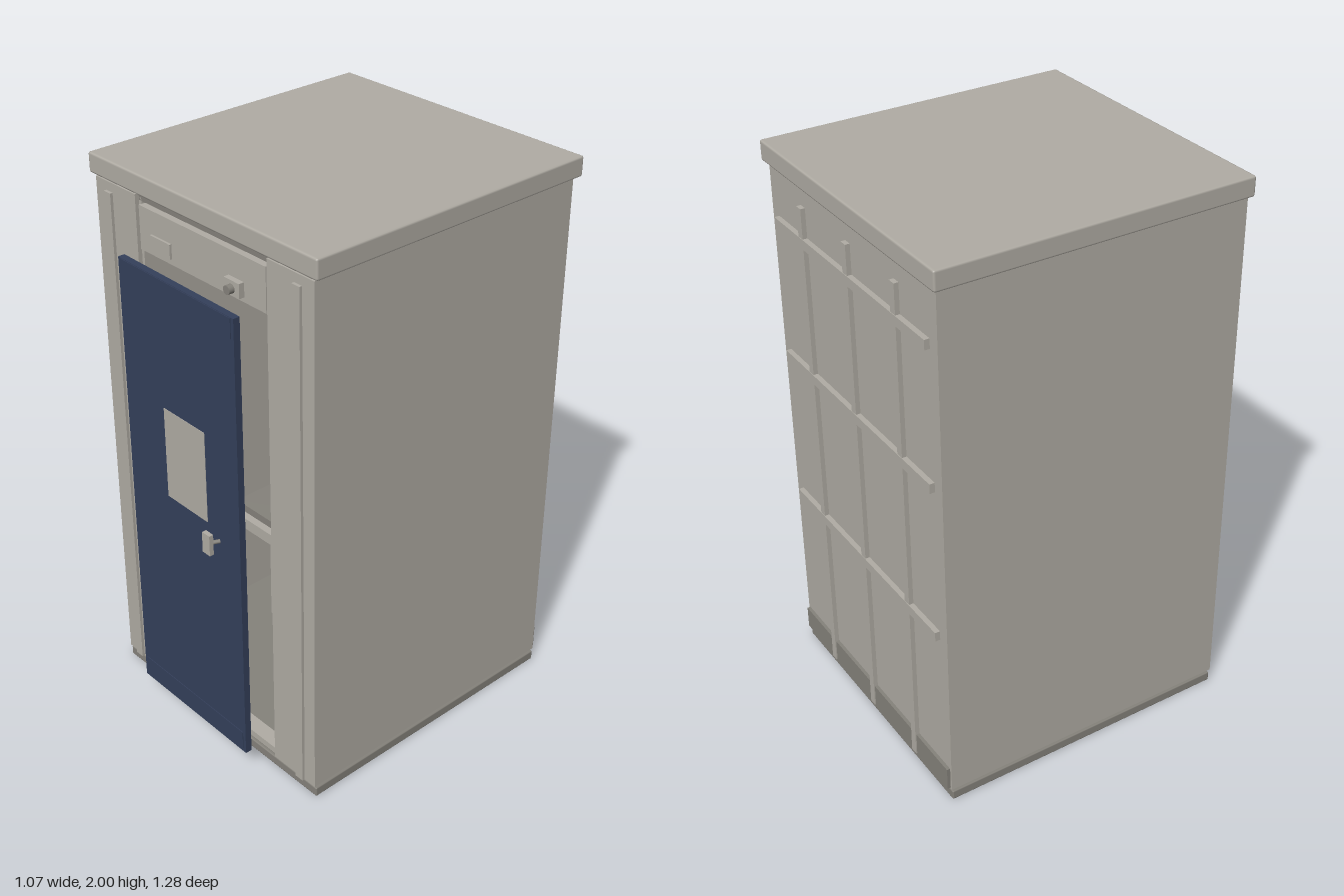
import * as THREE from 'three';
import { RoundedBoxGeometry } from 'three/addons/geometries/RoundedBoxGeometry.js';

export function createModel() {
  const group = new THREE.Group();
  const mat = (name, color) => {
    const m = new THREE.MeshStandardMaterial({ color });
    m.name = name;
    return m;
  };
  const grey = mat('warm grey', 0xb0aca4);
  const darkGrey = mat('dark grey', 0x85827b);
  const blue = mat('navy blue', 0x34405b);

  const add = (name, geometry, material, parent = group) => {
    const mesh = new THREE.Mesh(geometry, material);
    mesh.name = name;
    parent.add(mesh);
    return mesh;
  };
  // Box given by its limits on each axis
  const box = (name, [x0, x1], [y0, y1], [z0, z1], material = grey, parent = group, bevel = 0) => {
    const size = [x1 - x0, y1 - y0, z1 - z0];
    const g = bevel ? new RoundedBoxGeometry(...size, 1, bevel) : new THREE.BoxGeometry(...size);
    const mesh = add(name, g, material, parent);
    mesh.position.set((x0 + x1) / 2, (y0 + y1) / 2, (z0 + z1) / 2);
    return mesh;
  };

  // Base and roof with thin recessed joints
  box('base', [-0.515, 0.515], [0, 0.036], [-0.62, 0.47], darkGrey, group, 0.005);
  box('baseJoint', [-0.5, 0.5], [0.03, 0.06], [-0.61, 0.46], darkGrey);
  box('roofJoint', [-0.5, 0.5], [1.9, 1.94], [-0.61, 0.46], darkGrey);
  box('roof', [-0.535, 0.535], [1.93, 2], [-0.64, 0.485], grey, group, 0.008);

  // Hollow cabin shell
  const wallY = [0.045, 1.922];
  box('backWall', [-0.513, 0.513], wallY, [-0.622, -0.59]);
  for (const s of [-1, 1]) {
    const span = (a, b) => (s > 0 ? [a, b] : [-b, -a]);
    box('sideWall', span(0.48, 0.513), wallY, [-0.622, 0.475]);
    box('frontPanel', span(0.31, 0.513), wallY, [0.43, 0.475]);
    box('frontStrip', span(0.428, 0.462), [0.045, 1.89], [0.47, 0.485]);
    box('doorJamb', span(0.298, 0.312), [0.05, 1.91], [0.39, 0.46]);
  }
  box('threshold', [-0.31, 0.31], [0.045, 0.07], [0.41, 0.465]);

  // Header over the doorway with its sign plate and lock
  box('header', [-0.3, 0.3], [1.74, 1.89], [0.43, 0.47]);
  box('headerPlate', [-0.24, -0.142], [1.76, 1.81], [0.468, 0.478]);
  box('lockPlate', [0.132, 0.202], [1.757, 1.806], [0.468, 0.49]);
  const knob = add('lockKnob', new THREE.CylinderGeometry(0.015, 0.015, 0.025, 16), darkGrey);
  knob.rotation.x = Math.PI / 2;
  knob.position.set(0.167, 1.78, 0.497);

  // Interior bench and rail
  box('bench', [-0.48, 0.48], [0.41, 0.455], [-0.59, 0.0]);
  box('benchEdge', [-0.48, 0.48], [0.455, 0.485], [-0.59, -0.03], darkGrey);
  for (const x of [-0.28, 0, 0.28]) box('benchLeg', [x - 0.012, x + 0.012], [0.06, 0.41], [-0.06, -0.03]);
  box('wallRail', [-0.48, 0.48], [1.6, 1.63], [-0.59, -0.56], darkGrey);

  // Grid of battens on the back
  for (const x of [-0.29, 0, 0.29]) box('backUpright', [x - 0.014, x + 0.014], [0.05, 1.86], [-0.638, -0.62]);
  for (const y of [0.683, 1.25, 1.74]) box('backBatten', [-0.47, 0.47], [y - 0.017, y + 0.017], [-0.64, -0.62]);
  box('backKickPlate', [-0.505, 0.505], [0.05, 0.135], [-0.634, -0.62], darkGrey);

  // Door, standing off the doorway and turned slightly
  const door = new THREE.Group();
  door.name = 'door';
  door.position.set(-0.022, 0, 0.547);
  door.rotation.y = -0.012;
  group.add(door);
  box('doorLeaf', [-0.283, 0.283], [0.08, 1.74], [-0.012, 0.012], blue, door);
  for (const y of [0.13, 1.703]) box('doorBand', [-0.27, 0.27], [y - 0.035, y + 0.035], [-0.0145, 0.0145], blue, door);
  box('doorWindow', [-0.084, 0.122], [0.95, 1.283], [-0.0135, 0.0135], grey, door);

  // Handle in front of the door
  box('handleGrip', [0.17, 0.206], [0.91, 0.985], [0.624, 0.64]);
  const stem = add('handleStem', new THREE.CylinderGeometry(0.007, 0.007, 0.034, 10), darkGrey);
  stem.position.set(0.197, 0.947, 0.612);
  stem.quaternion.setFromUnitVectors(new THREE.Vector3(0, 1, 0), new THREE.Vector3(0.4, 0, -0.92).normalize());

  return group;
}
